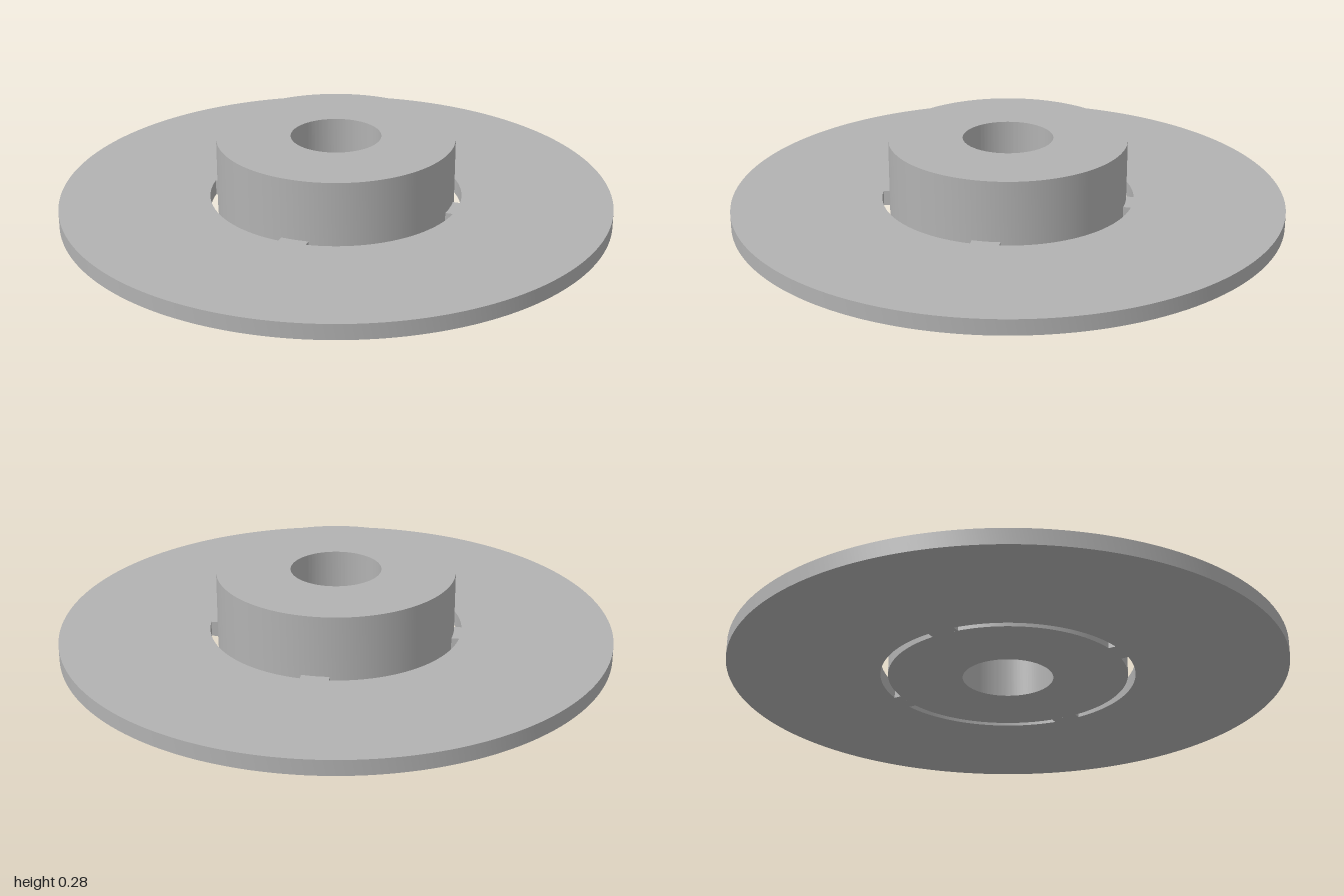
import * as THREE from 'three';
import { toCreasedNormals } from 'three/addons/utils/BufferGeometryUtils.js';

const HUB_R = 0.43, BORE_R = 0.163, SLOT_R = 0.457, TAB_HALF = 0.05;
const FLANGE_H = 0.056, HUB_H = 0.277;

function disc(radius) {
  return new THREE.Shape().absarc(0, 0, radius, 0, Math.PI * 2);
}

// Extrude a flat plan upwards from y = 0, smooth around the curves
function extrudeUp(shape, height) {
  const geometry = new THREE.ExtrudeGeometry(shape, { depth: height, bevelEnabled: false, curveSegments: 96 });
  geometry.rotateX(-Math.PI / 2);
  return toCreasedNormals(geometry, 0.5);
}

export function createModel() {
  const group = new THREE.Group();
  const grey = new THREE.MeshStandardMaterial({ color: 0xb2b2b2 });
  grey.name = 'grey';

  // Flange: its opening leaves four straight-sided tabs reaching the hub
  const opening = new THREE.Path();
  const outer = Math.asin(TAB_HALF / SLOT_R), inner = Math.asin(TAB_HALF / HUB_R);
  for (let i = 0; i < 4; i++) {
    const start = i * Math.PI / 2, end = start + Math.PI / 2;
    opening.absarc(0, 0, SLOT_R, start + outer, end - outer);
    opening.absarc(0, 0, HUB_R, end - inner, end + inner);
  }
  opening.closePath();
  const plan = disc(1);
  plan.holes.push(opening);
  const flange = new THREE.Mesh(extrudeUp(plan, FLANGE_H), grey);
  flange.name = 'flange';

  // Hub with a central bore
  const ring = disc(HUB_R);
  ring.holes.push(new THREE.Path().absarc(0, 0, BORE_R, 0, Math.PI * 2));
  const hub = new THREE.Mesh(extrudeUp(ring, HUB_H), grey);
  hub.name = 'hub';

  group.add(flange, hub);
  return group;
}
